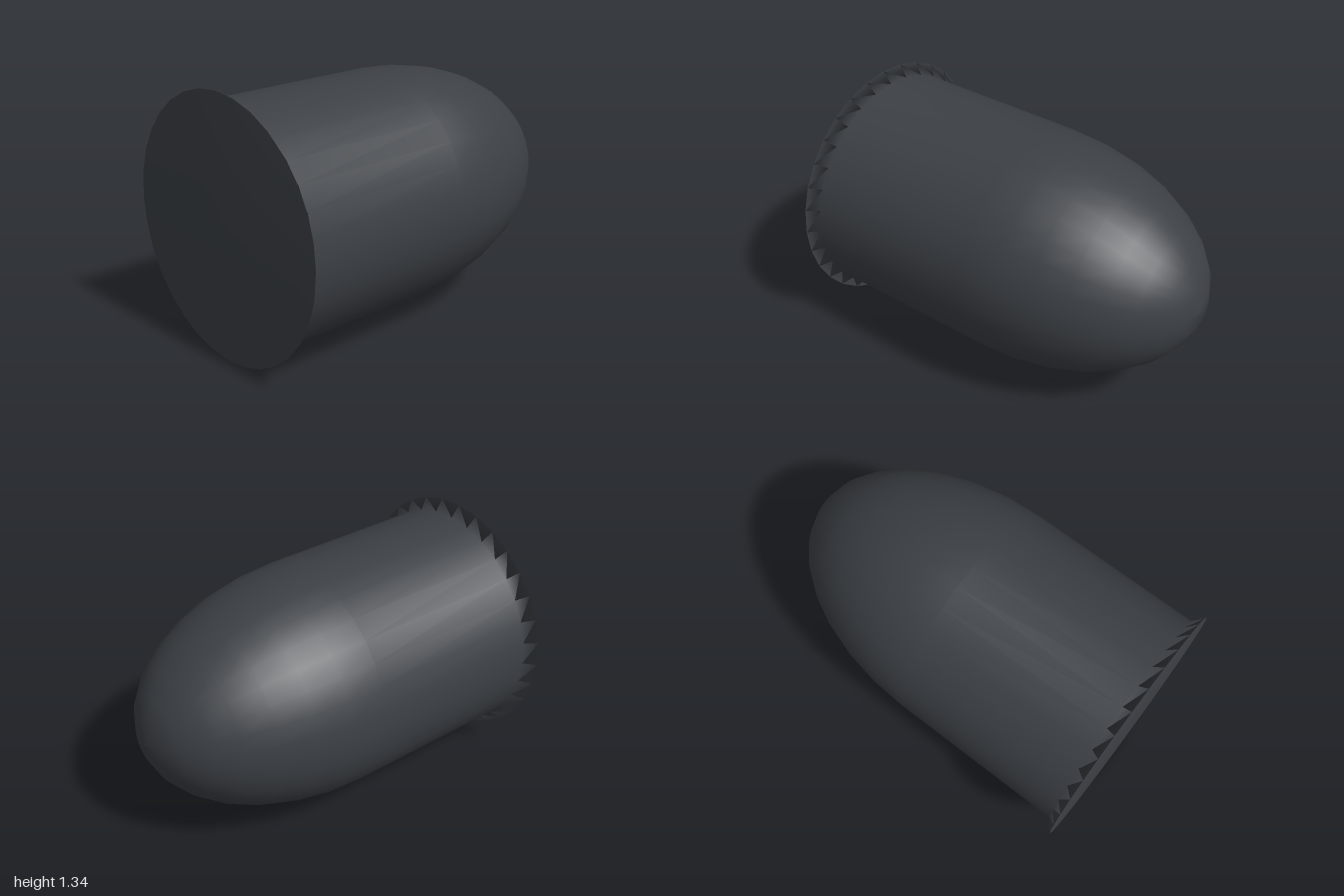
import * as THREE from 'three';

export function createModel() {
  const group = new THREE.Group();
  const bodyRadius = 0.612, rimRadius = 0.672, domeSteps = 8;

  // Profile from the tip of the rounded nose to the centre of the flat base
  const profile = [];
  for (let i = 0; i <= domeSteps; i++) {
    const a = (i / domeSteps) * Math.PI / 2;
    profile.push(new THREE.Vector2(bodyRadius * Math.sin(a), -Math.cos(a)));
  }
  profile.push(
    new THREE.Vector2(bodyRadius, 0.95), // straight wall
    new THREE.Vector2(rimRadius, 1),     // flared rim
    new THREE.Vector2(0, 1)              // flat base
  );

  // Smooth solid of revolution, laid down with its base to the front
  const geometry = new THREE.LatheGeometry(profile, 32);
  geometry.rotateX(Math.PI / 2);
  const body = new THREE.Mesh(geometry, new THREE.MeshStandardMaterial({ color: 0x3c4045 }));
  body.name = 'domedBody';
  body.position.y = rimRadius;
  group.add(body);
  return group;
}
